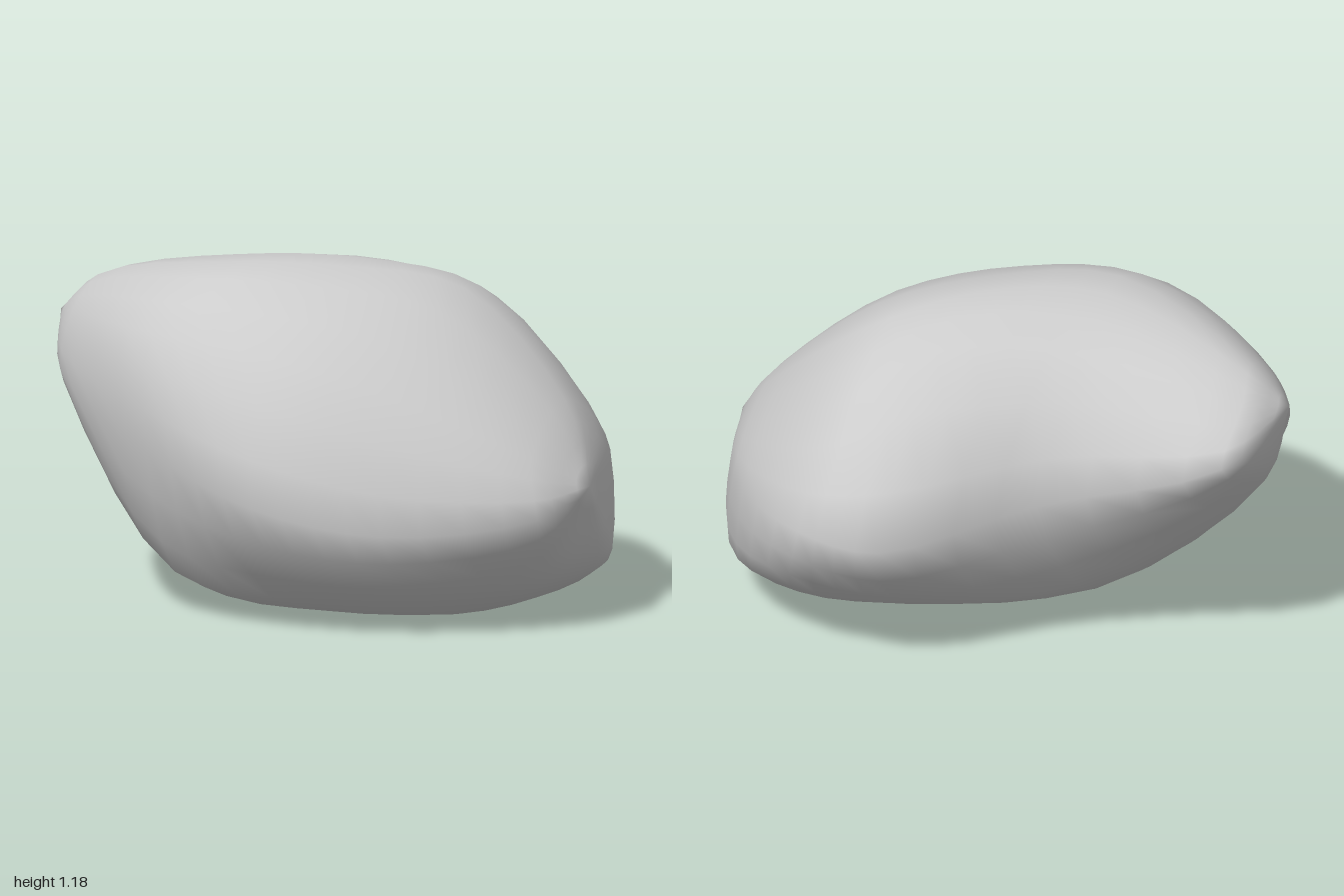
import * as THREE from 'three';

const LEFT_TIP = [-1, 0.9, 0.1], RIGHT_TIP = [1, 0.48, 0.09];
const RINGS = 24, SIDES = 24;

const curve = (points, closed) => new THREE.CatmullRomCurve3(points, closed);
const rail = (...pts) => curve([LEFT_TIP, ...pts, RIGHT_TIP].map((p) => new THREE.Vector3(...p)), false);

// Eight rails run from tip to tip, in order around the stone.
const front = rail([-0.9, 0.74, 0.3], [-0.38, 0.58, 0.67], [0.08, 0.44, 0.79], [0.5, 0.36, 0.66], [0.93, 0.4, 0.34]);
const upperFront = rail([-0.88, 0.93, 0.25], [-0.42, 0.96, 0.57], [0.05, 0.92, 0.6], [0.47, 0.79, 0.48], [0.87, 0.59, 0.27]);
const top = rail([-0.86, 1.03, 0.1], [-0.3, 1.16, 0.28], [0.08, 1.155, 0.13], [0.43, 1.075, -0.08], [0.82, 0.73, -0.07]);
const upperBack = rail([-0.9, 0.96, -0.06], [-0.35, 1.06, -0.12], [0.12, 1.06, -0.3], [0.4, 0.9, -0.5], [0.82, 0.64, -0.27]);
const back = rail([-0.9, 0.8, -0.24], [-0.29, 0.6, -0.38], [0.13, 0.52, -0.77], [0.42, 0.54, -0.77], [0.82, 0.5, -0.4]);
const lowerBack = rail([-0.93, 0.65, -0.02], [-0.33, 0.2, -0.14], [0.18, 0.14, -0.4], [0.53, 0.22, -0.58], [0.88, 0.18, -0.3]);
const underside = rail([-0.91, 0.6, 0.12], [-0.33, 0.085, 0.1], [0.2, 0, 0.06], [0.6, 0.01, -0.1], [0.91, 0.15, -0.1]);
const lowerFront = rail([-0.88, 0.62, 0.23], [-0.36, 0.13, 0.5], [0.15, 0.08, 0.52], [0.55, 0.1, 0.4], [0.88, 0.2, 0.16]);
const rails = [front, upperFront, top, upperBack, back, lowerBack, underside, lowerFront];

// Smooth closed cross-section through all the rails.
function ring(t) {
  const section = curve(rails.map((r) => r.getPoint(t)), true);
  return Array.from({ length: SIDES }, (_, j) => section.getPoint(j / SIDES).toArray());
}

export function createModel() {
  const positions = [...LEFT_TIP], index = [];
  for (let i = 1; i < RINGS; i++) positions.push(...ring(i / RINGS).flat());
  positions.push(...RIGHT_TIP);

  // Skin between neighbouring rings, closed to a single vertex at each tip.
  const last = positions.length / 3 - 1;
  const at = (i, j) => (i === 0 ? 0 : i === RINGS ? last : 1 + (i - 1) * SIDES + (j % SIDES));
  for (let i = 0; i < RINGS; i++) {
    for (let j = 0; j < SIDES; j++) {
      const a = at(i, j), b = at(i + 1, j), c = at(i, j + 1), d = at(i + 1, j + 1);
      if (i < RINGS - 1) index.push(b, d, c);
      if (i > 0) index.push(a, b, c);
    }
  }

  const geometry = new THREE.BufferGeometry();
  geometry.setAttribute('position', new THREE.Float32BufferAttribute(positions, 3));
  geometry.setIndex(index);
  geometry.computeVertexNormals();

  const stone = new THREE.Mesh(geometry, new THREE.MeshStandardMaterial({ color: 0xcccccc }));
  stone.name = 'stone';
  const group = new THREE.Group();
  group.name = 'curvedStone';
  group.add(stone);
  return group;
}
